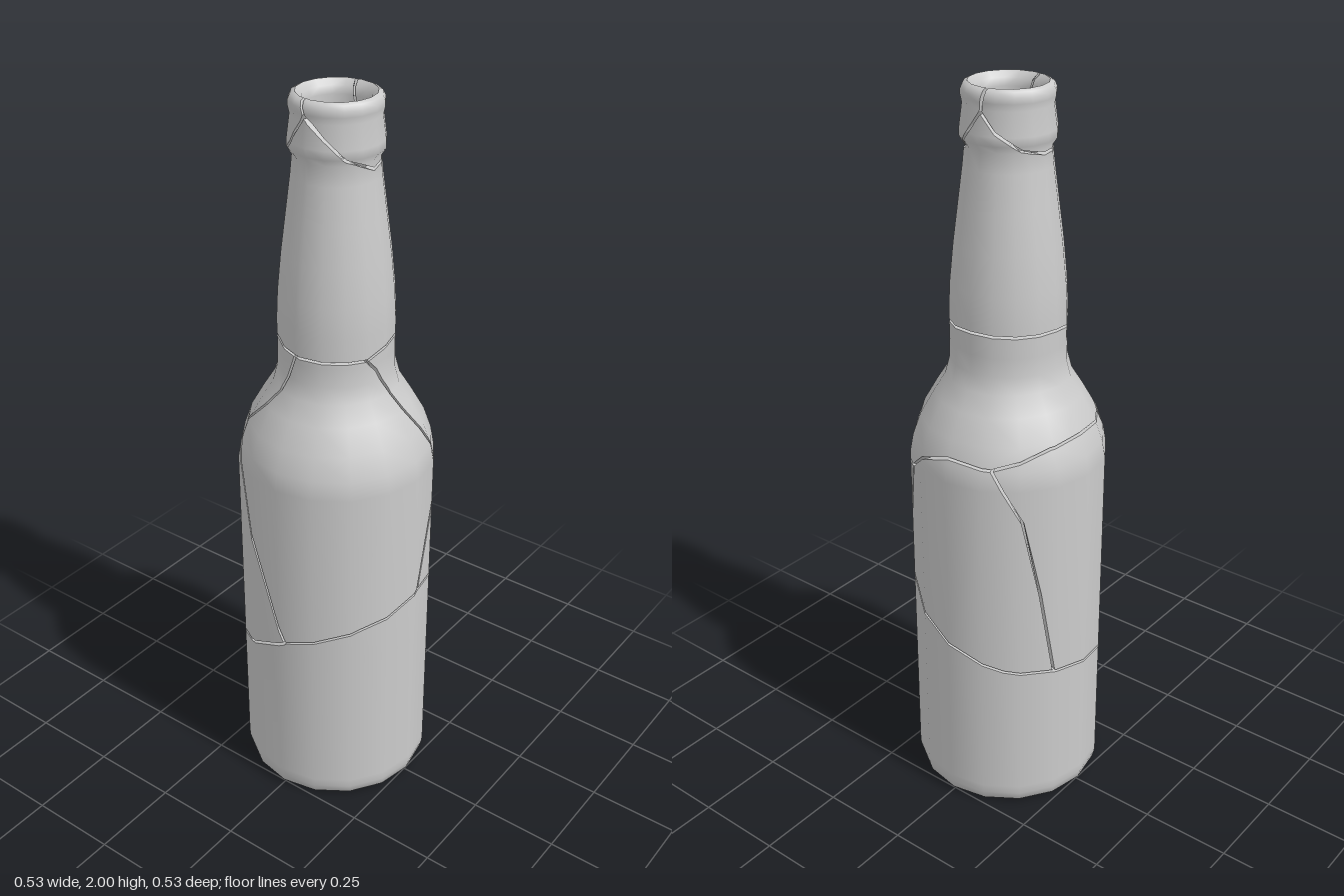
import * as THREE from 'three';
import { mergeGeometries } from 'three/addons/utils/BufferGeometryUtils.js';

const SIDES = 16, GAP = 0.0035;
const STEP = 360 / SIDES;

// Wall profiles as [radius, height], rising
const OUTER = [[0.245, 0], [0.257, 0.01], [0.264, 0.035], [0.265, 0.06], [0.265, 0.5], [0.265, 1.02], [0.256, 1.07],
  [0.235, 1.13], [0.198, 1.195], [0.167, 1.245], [0.155, 1.29], [0.153, 1.34], [0.154, 1.42], [0.15, 1.5], [0.14, 1.6],
  [0.127, 1.7], [0.114, 1.8], [0.109, 1.85], [0.121, 1.868], [0.121, 1.89], [0.113, 1.95], [0.117, 1.968],
  [0.117, 1.982], [0.111, 1.995], [0.1, 2]];
const INNER = [[0.2, 0.04], [0.235, 0.09], [0.235, 1.01], [0.205, 1.13], [0.14, 1.24], [0.125, 1.3], [0.125, 1.42],
  [0.112, 1.6], [0.085, 1.8], [0.08, 1.85], [0.08, 1.965], [0.084, 1.985], [0.1, 2]];

// Point and smooth normal on a many-sided wall at column u and height y
function wallPoint(profile, u, y) {
  y = THREE.MathUtils.clamp(y, profile[0][1], profile.at(-1)[1]);
  let j = 0;
  while (j < profile.length - 2 && y > profile[j + 1][1]) j++;
  const t = (y - profile[j][1]) / (profile[j + 1][1] - profile[j][1]);
  const r = THREE.MathUtils.lerp(profile[j][0], profile[j + 1][0], t);
  const slope = (k) => {
    const a = profile[Math.max(k - 1, 0)], b = profile[Math.min(k + 1, profile.length - 1)];
    return new THREE.Vector2(b[1] - a[1], a[0] - b[0]).normalize();
  };
  const n = slope(j).lerp(slope(j + 1), t);
  const i = Math.floor(u), f = u - i;
  const dir = (k) => new THREE.Vector3(Math.sin(k * 2 * Math.PI / SIDES), 0, Math.cos(k * 2 * Math.PI / SIDES));
  const d = dir(i).lerp(dir(i + 1), f);
  const p = d.clone().multiplyScalar(r).setY(y);
  const normal = d.normalize().multiplyScalar(n.x).setY(n.y).normalize();
  return { p, normal };
}

function toGeometry(pos, nor) {
  const g = new THREE.BufferGeometry();
  g.setAttribute('position', new THREE.Float32BufferAttribute(pos, 3));
  if (nor) g.setAttribute('normal', new THREE.Float32BufferAttribute(nor, 3));
  else g.computeVertexNormals();
  return g;
}

// Keep the part of a polygon where sign * (axis - limit) >= 0
function clip(poly, axis, limit, sign) {
  const out = [];
  poly.forEach((a, i) => {
    const b = poly[(i + 1) % poly.length];
    const da = sign * (a[axis] - limit), db = sign * (b[axis] - limit);
    if (da >= 0) out.push(a);
    if (da * db < 0) out.push(a.clone().lerp(b, da / (da - db)));
  });
  return out;
}

// Shrink an unrolled polygon [degrees, height] by the crack gap; returns columns
function inset(points) {
  return points.map(([deg, y], i) => {
    const scale = wallPoint(OUTER, 0, y).p.z * Math.PI / 180;
    const edge = (a, b) => new THREE.Vector2((b[0] - a[0]) * scale, b[1] - a[1]).normalize();
    const e = edge(points.at(i - 1), points[i]), f = edge(points[i], points[(i + 1) % points.length]);
    const m = new THREE.Vector2(-e.y - f.y, e.x + f.x);
    m.multiplyScalar(GAP / Math.max(1 + e.dot(f), 0.3));
    return new THREE.Vector2((deg + m.x / scale) / STEP, y + m.y);
  });
}

// One face of a shard: its polygon cut along the wall's facets
function skin(poly, profile, flip) {
  const pos = [], nor = [];
  const us = poly.map((v) => v.x);
  for (let i = Math.floor(Math.min(...us)); i < Math.max(...us); i++) {
    const column = clip(clip(poly, 'x', i, 1), 'x', i + 1, -1);
    for (let j = 0; j < profile.length - 1; j++) {
      const cell = clip(clip(column, 'y', profile[j][1], 1), 'y', profile[j + 1][1], -1);
      if (cell.length < 3) continue;
      for (const tri of THREE.ShapeUtils.triangulateShape(cell, [])) {
        for (const k of flip ? [tri[2], tri[1], tri[0]] : tri) {
          // stay inside this facet column at its right border
          const { p, normal } = wallPoint(profile, Math.min(cell[k].x, i + 1), cell[k].y);
          if (flip) normal.negate();
          pos.push(...p);
          nor.push(...normal);
        }
      }
    }
  }
  return toGeometry(pos, nor);
}

// Broken edge joining the outer and inner faces
function brokenEdge(poly) {
  const pos = [];
  poly.forEach((a, i) => {
    const b = poly[(i + 1) % poly.length];
    const ts = [0, 1];
    for (let k = Math.ceil(Math.min(a.x, b.x)); k < Math.max(a.x, b.x); k++) ts.push((k - a.x) / (b.x - a.x));
    for (const [, y] of OUTER) {
      const t = (y - a.y) / (b.y - a.y);
      if (t > 0 && t < 1) ts.push(t);
    }
    ts.sort((m, n) => m - n);
    for (let k = 0; k < ts.length - 1; k++) {
      const s = a.clone().lerp(b, ts[k]), e = a.clone().lerp(b, ts[k + 1]);
      if (Math.max(s.y, e.y) < 0.001 || Math.min(s.y, e.y) > 1.999) continue;
      const [so, si, eo, ei] = [[OUTER, s], [INNER, s], [OUTER, e], [INNER, e]].map(([w, v]) => wallPoint(w, v.x, v.y).p);
      for (const v of [so, si, ei, so, ei, eo]) pos.push(...v);
    }
  });
  return toGeometry(pos);
}

export function createModel() {
  const group = new THREE.Group();
  const material = new THREE.MeshStandardMaterial({ color: 0xcccccc });
  const add = (name, geometry) => {
    const mesh = new THREE.Mesh(geometry, material);
    mesh.name = name;
    group.add(mesh);
    return mesh;
  };
  const back = (chain) => [...chain].reverse();
  const turn = (chain) => chain.map(([d, y]) => [d + 360, y]);

  // Crack lines, unrolled as [degrees from the front, height]
  const lowLeft = [[-86, 0.53], [-40, 0.6], [4, 0.655]];
  const lowSliver = [[4, 0.655], [36, 0.65]];
  const lowRight = [[36, 0.65], [52, 0.612], [68, 0.565], [90, 0.517], [125, 0.46], [156, 0.445]];
  const lowBack = [[156, 0.445], [203, 0.414], [240, 0.45], [274, 0.53]];
  const sliverLeft = [[4, 0.655], [31, 0.993]];
  const sliverRight = [[36, 0.65], [52, 0.993]];
  const rightBack = [[156, 0.445], [147, 0.7], [136, 0.93], [118, 1.075]];
  const backLeft = [[-86, 0.53], [-139, 1.12]];
  const shoulderRight = [[52, 0.993], [68, 1.05], [90, 1.085], [118, 1.075]];
  const shoulderBack = [[118, 1.075], [155, 1.12], [180, 1.13], [221, 1.12]];
  const shoulderLeft = [[-139, 1.12], [-112, 1.25], [-97, 1.357]];
  const frontCrack = [[31, 0.993], [26, 1.05], [17, 1.13], [1, 1.25], [-12, 1.32], [-24, 1.355]];
  const ringLeft = [[-97, 1.357], [-24, 1.355]];
  const ringRight = [[-24, 1.355], [0, 1.375], [45, 1.392], [90, 1.4], [180, 1.395], [225, 1.375], [263, 1.357]];
  const lipFront = [[-95, 1.965], [-65, 1.91], [-42, 1.865], [0, 1.83], [50, 1.845], [70, 1.885], [92, 1.945]];
  const lipBack = [[92, 1.945], [112, 1.9], [145, 1.855], [180, 1.84], [210, 1.84], [240, 1.89], [265, 1.965]];

  // Pieces that close on themselves overlap by the gap at their seam
  const closeRing = (bottom, top) => {
    const pad = (chain) => {
      const c = chain.map((v) => [...v]);
      for (const [v, s] of [[c[0], -1], [c.at(-1), 1]]) v[0] += s * GAP / (wallPoint(OUTER, 0, v[1]).p.z * Math.PI / 180);
      return c;
    };
    return [...pad(bottom), ...back(pad(top))];
  };
  const low = [...lowLeft, ...lowSliver.slice(1), ...lowRight.slice(1), ...lowBack.slice(1)];
  const shards = {
    baseShard: closeRing([[-86, -GAP], [90, -GAP], [274, -GAP]], low),
    sliverShard: [...lowSliver, ...sliverRight.slice(1), ...back(sliverLeft).slice(0, -1)],
    rightShard: [...lowRight, ...rightBack.slice(1), ...back(shoulderRight).slice(1)],
    backShard: [...lowBack, ...turn(backLeft).slice(1), ...back(shoulderBack).slice(1), ...back(rightBack).slice(1, -1)],
    frontShard: [...lowLeft, ...sliverLeft.slice(1), ...frontCrack.slice(1), ...back(ringLeft).slice(1),
      ...back(shoulderLeft).slice(1), ...back(backLeft).slice(1, -1)],
    shoulderShard: [[31, 0.993], ...shoulderRight, ...shoulderBack.slice(1), ...turn(shoulderLeft).slice(1),
      ...back(ringRight).slice(1), ...back(frontCrack).slice(1, -1)],
    neckShard: closeRing([...ringLeft, ...ringRight.slice(1)].map(([d, y]) => [d, y]),
      [[-97, 1.963], ...lipFront.slice(1), ...lipBack.slice(1, -1), [263, 1.963]]),
    lipFrontShard: [...lipFront, [98, 2 + GAP], [-102, 2 + GAP]],
    lipBackShard: [...lipBack, [258, 2 + GAP], [98, 2 + GAP]],
  };
  for (const [name, points] of Object.entries(shards)) {
    const poly = inset(points);
    add(name, mergeGeometries([skin(poly, OUTER, false), skin(poly, INNER, true), brokenEdge(poly)]));
  }

  // Underside and inner floor
  const start = Math.PI / 2;
  add('underside', new THREE.CircleGeometry(0.245, SIDES, start).rotateX(Math.PI / 2));
  add('innerFloor', new THREE.CircleGeometry(0.2, SIDES, start).rotateX(-Math.PI / 2).translate(0, 0.04, 0));
  return group;
}
